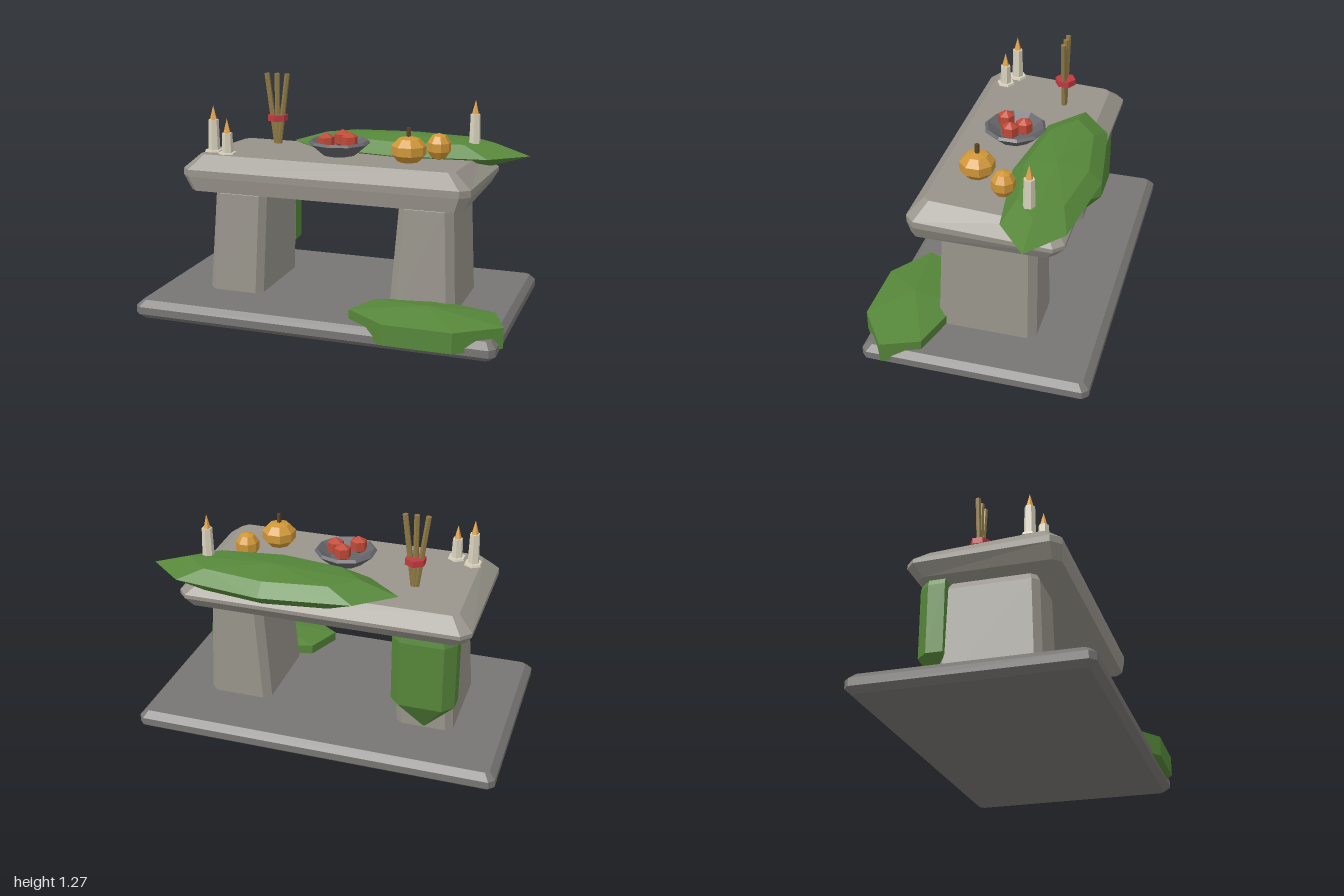
import * as THREE from 'three';

const mat = (color) => new THREE.MeshStandardMaterial({ color, flatShading: true });
const STONE = mat(0x98948b), DARK_STONE = mat(0x787673), BOWL = mat(0x66656a), MOSS = mat(0x56873a),
  WAX = mat(0xd9d2bd), FLAME = mat(0xe8a850), GOURD = mat(0xcf9638), STEM = mat(0x5a4526),
  FRUIT = mat(0xc04a38), BAND = mat(0xc03a40), STICK = mat(0x8f7a45);

// Skin a stack of equal-length rings (each ordered front-left, front-right, back) and cap both ends
function loft(rings) {
  const n = rings[0].length, index = [];
  for (let r = 0; r < rings.length - 1; r++)
    for (let i = 0; i < n; i++) {
      const a = r * n + i, b = r * n + (i + 1) % n;
      index.push(a, b, b + n, a, b + n, a + n);
    }
  const top = (rings.length - 1) * n;
  for (let i = 1; i < n - 1; i++) index.push(0, i + 1, i, top, top + i, top + i + 1);
  const g = new THREE.BufferGeometry();
  g.setAttribute('position', new THREE.Float32BufferAttribute(rings.flat(2), 3));
  g.setIndex(index);
  const flat = g.toNonIndexed();
  flat.computeVertexNormals();
  return flat;
}

// Rectangle with cut corners; tilt raises it towards the front
function ring(y, x0, x1, z0, z1, c, tilt = 0) {
  return [[x0 + c, z1], [x1 - c, z1], [x1, z1 - c], [x1, z0 + c],
    [x1 - c, z0], [x0 + c, z0], [x0, z0 + c], [x0, z1 - c]].map(([x, z]) => [x, y + tilt * z, z]);
}

export function createModel() {
  const model = new THREE.Group();
  const add = (name, geo, material, x = 0, y = 0, z = 0, parent = model) => {
    const mesh = new THREE.Mesh(geo, material);
    mesh.name = name;
    mesh.position.set(x, y, z);
    parent.add(mesh);
    return mesh;
  };
  const group = (name, x = 0, y = 0, z = 0) => {
    const g = new THREE.Group();
    g.name = name;
    g.position.set(x, y, z);
    model.add(g);
    return g;
  };

  // Plinth
  add('plinth', loft([
    ring(0, -0.97, 0.95, -0.59, 0.545, 0.02),
    ring(0.03, -1, 0.98, -0.625, 0.58, 0.03),
    ring(0.07, -1, 0.98, -0.625, 0.58, 0.03),
    ring(0.103, -0.965, 0.95, -0.59, 0.545, 0.02),
  ]), DARK_STONE);

  // Tapered pillars
  add('rightPillar', loft([
    ring(0.09, -0.705, -0.39, -0.285, 0.255, 0.035),
    ring(0.65, -0.67, -0.37, -0.28, 0.23, 0.035),
    ring(0.7, -0.64, -0.4, -0.25, 0.205, 0.025),
  ]), STONE);
  add('leftPillar', loft([
    ring(0.09, 0.335, 0.695, -0.28, 0.255, 0.04),
    ring(0.65, 0.375, 0.67, -0.275, 0.23, 0.04),
    ring(0.7, 0.405, 0.645, -0.25, 0.205, 0.03),
  ]), STONE);

  // Table slab, sloping slightly to the back
  add('slab', loft([
    ring(0.69, -0.755, 0.75, -0.385, 0.365, 0.04),
    ring(0.76, -0.8, 0.785, -0.435, 0.375, 0.05, 0.02),
    ring(0.79, -0.8, 0.785, -0.435, 0.375, 0.05, 0.04),
    ring(0.863, -0.72, 0.69, -0.36, 0.3, 0.03, 0.055),
  ]), STONE);

  // Moss draped over the back edge of the slab
  add('slabMoss', new THREE.SphereGeometry(1, 8, 4).scale(0.683, 0.09, 0.235), MOSS, 0.29, 0.865, -0.285);

  // Moss clump on the front corner of the plinth
  const clump = group('plinthMoss', 0.595, 0, 0.41);
  const turn = Math.PI / 7;
  add('mossBody', new THREE.CylinderGeometry(1, 1, 0.11, 7).rotateY(turn).scale(0.415, 1, 0.233),
    MOSS, 0, 0.1, 0, clump);
  add('mossCrown', new THREE.ConeGeometry(1, 0.05, 7, 1, true).rotateY(turn).scale(0.415, 1, 0.233),
    MOSS, 0, 0.18, 0, clump);

  // Moss hanging behind the right pillar, drawn in to a low tip
  const section = [[-0.72, -0.24], [-0.375, -0.24], [-0.375, -0.33], [-0.43, -0.39], [-0.665, -0.39], [-0.72, -0.33]];
  const hang = (y, k) => section.map(([x, z]) => [-0.55 + (x + 0.55) * k, y, -0.28 + (z + 0.28) * k]);
  add('hangingMoss', loft([hang(0.105, 0.01), hang(0.285, 1), hang(0.66, 1), hang(0.7, 0.92)]), MOSS);

  // Bowl of fruit
  const profile = [[0, 0], [0.095, 0], [0.17, 0.065], [0.155, 0.078], [0.085, 0.03], [0, 0.03]]
    .map(([r, y]) => new THREE.Vector2(r, y));
  const bowl = group('fruitBowl', -0.015, 0.872, 0.02);
  add('bowl', new THREE.LatheGeometry(profile, 10), BOWL, 0, 0, 0, bowl);
  for (const [x, z] of [[0.003, -0.05], [0.062, 0.012], [-0.052, 0.065]])
    add('redFruit', new THREE.SphereGeometry(0.052, 6, 3).rotateY(Math.PI / 6), FRUIT, x, 0.077, z, bowl);

  // Gourds
  const gourd = (name, x, y, z, r, h) =>
    add(name, new THREE.SphereGeometry(1, 8, 5).rotateY(Math.PI / 8).scale(r, h, r), GOURD, x, y, z);
  gourd('largeGourd', 0.4, 0.94, 0.105, 0.098, 0.075);
  gourd('smallGourd', 0.52, 0.932, -0.065, 0.067, 0.074);
  add('gourdStem', new THREE.CylinderGeometry(0.012, 0.014, 0.06, 5), STEM, 0.4, 1.03, 0.105);

  // Candles: x, z, foot, top, wax pool
  for (const [x, z, foot, top, pool] of [
    [-0.68, 0.19, 0.865, 1.052, true], [-0.58, 0.235, 0.865, 0.992, true], [0.675, -0.24, 0.9, 1.087, false]]) {
    const candle = group('candle', x, 0, z);
    add('wax', new THREE.CylinderGeometry(0.028, 0.033, top - foot, 6), WAX, 0, (top + foot) / 2, 0, candle);
    add('flame', new THREE.ConeGeometry(0.02, 0.078, 5), FLAME, 0, top + 0.039, 0, candle);
    if (pool) add('waxPool', new THREE.CylinderGeometry(0.048, 0.052, 0.014, 6), WAX, 0, 0.879, 0, candle);
  }

  // Fanned bundle of sticks held by a band
  const bundle = group('stickBundle', -0.443, 0.87, -0.15);
  for (const s of [-1, 0, 1]) {
    const stick = add('stick', new THREE.CylinderGeometry(0.015, 0.015, 0.4, 6), STICK, s * 0.035, 0.2, 0, bundle);
    stick.rotation.z = -s * 0.13;
  }
  add('band', new THREE.CylinderGeometry(0.057, 0.057, 0.034, 6), BAND, 0, 0.148, -0.003, bundle);

  return model;
}
